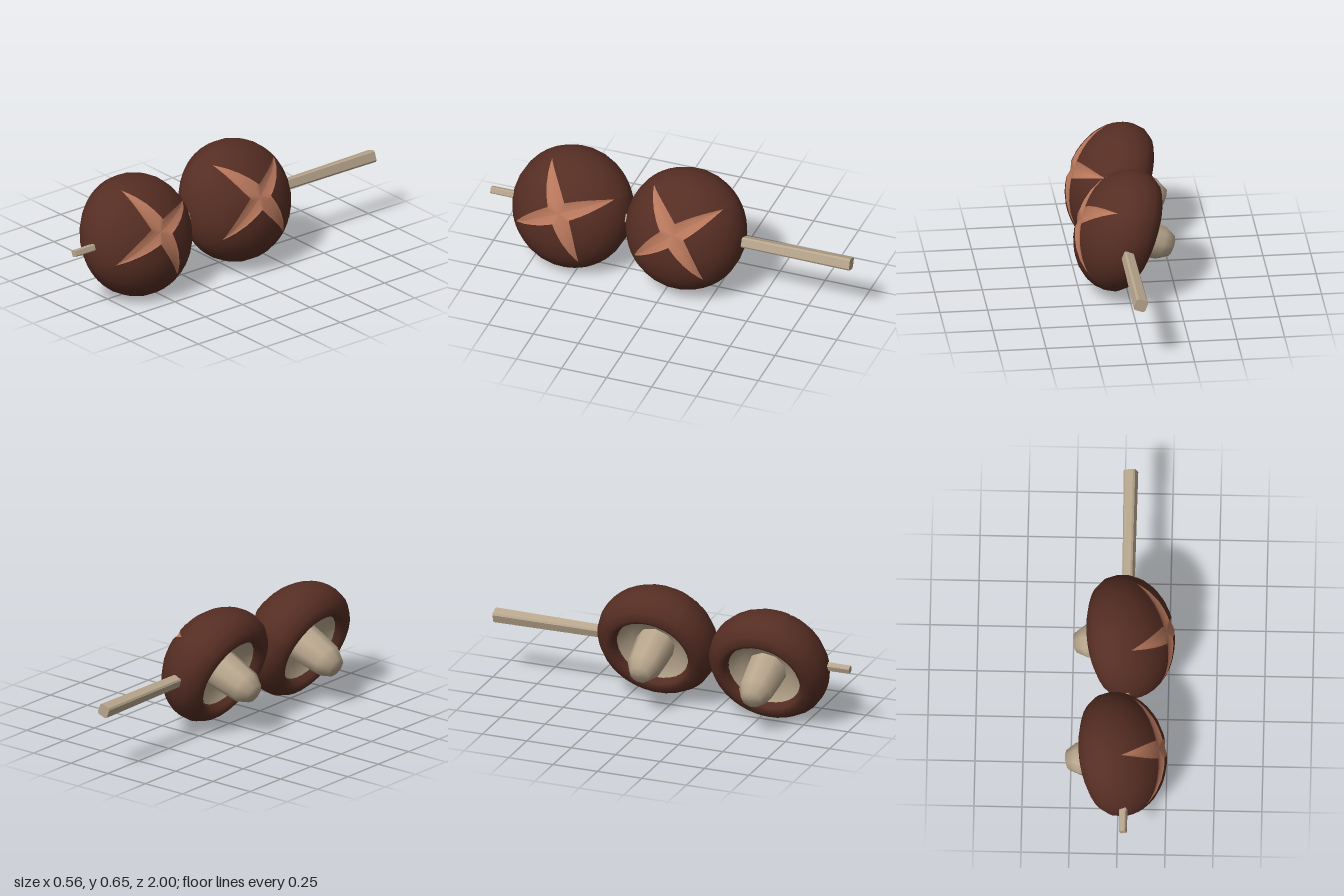
import * as THREE from 'three';

const capBrown = new THREE.MeshStandardMaterial({ color: 0x552d23 });
const cutOrange = new THREE.MeshStandardMaterial({ color: 0xb8775c });
const paleBeige = new THREE.MeshStandardMaterial({ color: 0xb8a68d, side: THREE.DoubleSide });
capBrown.name = 'capBrown';
cutOrange.name = 'cutOrange';
paleBeige.name = 'paleBeige';

const RADIUS = 0.325, DOME_BASE = 0.11, DOME_HEIGHT = 0.247;
const CUT_REACH = 0.28, CUT_HALF_WIDTH = 0.05;

// Profile of the rolled rim under the dome: [radius, height]
const RIM = [[0.316, 0.055], [0.284, 0.01], [0.24, -0.012], [0.212, 0.003], [0.196, 0.04]];

// Angles round the cap, packed closer together near the four cut tips
const HALF = 6;
const angles = [];
for (let arm = 0; arm < 4; arm++) {
  for (let k = -HALF; k < HALF; k++) {
    const t = k / HALF;
    const off = Math.sign(t) * t * t * Math.PI / 4;
    angles.push({ a: arm * Math.PI / 2 + off, off: Math.abs(off) });
  }
}

// Distance from the apex to the edge of the cross-shaped cut
function cutEdge(off) {
  const k = CUT_HALF_WIDTH / CUT_REACH ** 2, s = Math.sin(off);
  return (-s + Math.sqrt(s * s + 4 * k * CUT_HALF_WIDTH)) / (2 * k);
}

// Closed surface of rings; profile(row, angle) returns [radius, height]
function ringSurface(rows, profile) {
  const pos = [], index = [], n = angles.length;
  for (let i = 0; i < rows; i++) {
    angles.forEach((ang, j) => {
      const [r, y] = profile(i, ang);
      pos.push(-r * Math.sin(ang.a), y, -r * Math.cos(ang.a));
      if (i === rows - 1) return;
      const p = i * n + j, q = i * n + (j + 1) % n;
      index.push(p, p + n, q, q, p + n, q + n);
    });
  }
  const g = new THREE.BufferGeometry();
  g.setAttribute('position', new THREE.Float32BufferAttribute(pos, 3));
  g.setIndex(index);
  g.computeVertexNormals();
  return g;
}

function lathe(points, segments) {
  return new THREE.LatheGeometry(points.map(([x, y]) => new THREE.Vector2(x, y)), segments);
}

function addMesh(parent, name, geometry, material) {
  const mesh = new THREE.Mesh(geometry, material);
  mesh.name = name;
  parent.add(mesh);
  return mesh;
}

const domeY = (r) => DOME_BASE + DOME_HEIGHT * Math.sqrt(Math.max(0, 1 - (r / RADIUS) ** 2));

function createMushroom(name, x, y, z, spin) {
  const tilt = new THREE.Group();
  tilt.name = name;
  tilt.position.set(x, y, z);
  tilt.rotation.z = -THREE.MathUtils.degToRad(68);
  const body = new THREE.Group();
  body.name = name + 'Body';
  body.rotation.y = THREE.MathUtils.degToRad(spin);
  tilt.add(body);

  // Cap skin from the cut edge over the dome and round the rim
  const domeRows = 7;
  addMesh(body, 'cap', ringSurface(domeRows + RIM.length, (i, { off }) => {
    if (i >= domeRows) return RIM[i - domeRows];
    const start = Math.asin(cutEdge(off) / RADIUS);
    const t = start + (Math.PI / 2 - start) * i / (domeRows - 1);
    return [RADIUS * Math.sin(t), DOME_BASE + DOME_HEIGHT * Math.cos(t)];
  }), capBrown);

  // Shallow cross carved in the top
  const cutRows = 6;
  addMesh(body, 'crossCut', ringSurface(cutRows, (i, { off }) => {
    const f = i / (cutRows - 1), r = f * cutEdge(off);
    return [r, domeY(r) - 0.014 * (1 - f * f)];
  }), cutOrange);

  // Underside and stem
  addMesh(body, 'gills', lathe([[0, 0.1], [0.14, 0.08], [0.2, 0.034]], 24), paleBeige);
  addMesh(body, 'stem', lathe(
    [[0, -0.167], [0.055, -0.163], [0.09, -0.1], [0.1, 0], [0.107, 0.1]], 9), paleBeige);
  return tilt;
}

// Tapered square stick with chamfered corners
function createSkewer() {
  const c = 0.72, shape = new THREE.Shape();
  [[1, -c], [1, c], [c, 1], [-c, 1], [-1, c], [-1, -c], [-c, -1], [c, -1]]
    .forEach(([x, y], i) => (i ? shape.lineTo(x, y) : shape.moveTo(x, y)));
  const g = new THREE.ExtrudeGeometry(shape, { depth: 2, bevelEnabled: false });
  g.translate(0, 0, -1);
  const p = g.attributes.position;
  for (let i = 0; i < p.count; i++) {
    const s = THREE.MathUtils.lerp(0.032, 0.0175, (p.getZ(i) + 1) / 2);
    p.setXY(i, p.getX(i) * s, p.getY(i) * s);
  }
  g.computeVertexNormals();
  return g;
}

export function createModel() {
  const model = new THREE.Group();
  model.name = 'mushroomSkewer';
  model.add(createMushroom('frontMushroom', -0.109, 0.269, 0.56, 23));
  model.add(createMushroom('backMushroom', -0.081, 0.297, -0.08, 37));
  const skewer = addMesh(model, 'skewer', createSkewer(), paleBeige);
  skewer.position.set(0.031, 0.335, 0);
  skewer.rotation.z = THREE.MathUtils.degToRad(20);
  return model;
}
